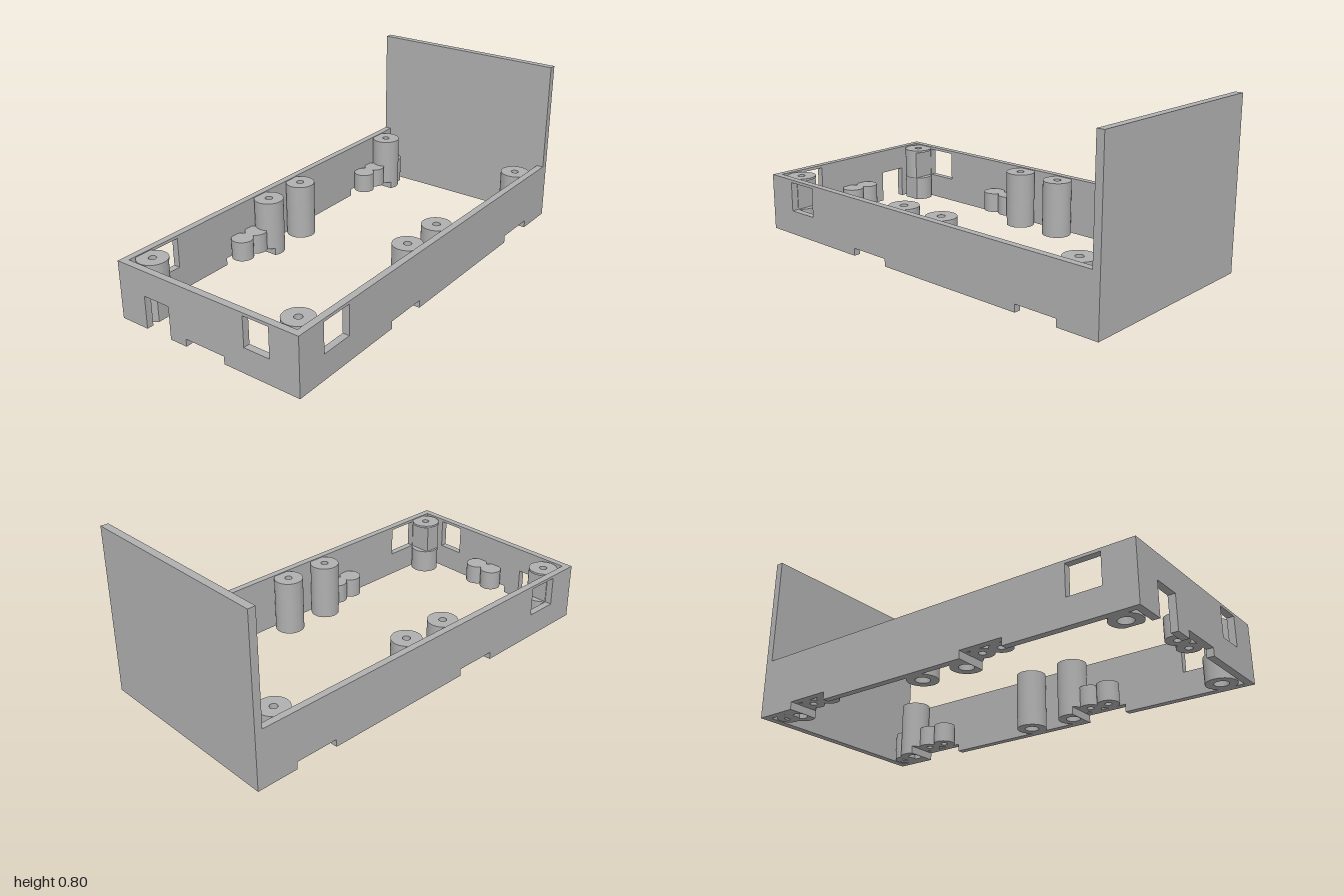
import * as THREE from 'three';
import { toCreasedNormals } from 'three/addons/utils/BufferGeometryUtils.js';

const H = 0.277, T = 0.033, Z = 0.487, NOTCH = 0.036;
const WIN_LO = 0.12, WIN_HI = 0.263;

export function createModel() {
  const group = new THREE.Group();
  const grey = new THREE.MeshStandardMaterial({ color: 0xb0b0b0 });
  grey.name = 'grey plastic';

  const add = (geometry, name) => {
    const mesh = new THREE.Mesh(geometry, grey);
    mesh.name = name;
    group.add(mesh);
    return mesh;
  };

  // Wall outline: notches are [from, to, height] cut from the bottom edge
  const wallGeometry = (a, b, notches, [w0, w1]) => {
    const s = new THREE.Shape();
    s.moveTo(a, 0);
    for (const [from, to, h] of notches) {
      s.lineTo(from, 0);
      s.lineTo(from, h);
      s.lineTo(to, h);
      s.lineTo(to, 0);
    }
    s.lineTo(b, 0);
    s.lineTo(b, H);
    s.lineTo(a, H);
    s.closePath();
    const hole = new THREE.Path();
    hole.moveTo(w0, WIN_LO);
    hole.lineTo(w0, WIN_HI);
    hole.lineTo(w1, WIN_HI);
    hole.lineTo(w1, WIN_LO);
    hole.closePath();
    s.holes.push(hole);
    return new THREE.ExtrudeGeometry(s, { depth: T, bevelEnabled: false });
  };

  // Long walls
  const longNotches = [[-0.39, -0.18, NOTCH], [0.59, 0.8, NOTCH]];
  for (const [name, z] of [['frontWall', Z - T], ['backWall', -Z]]) {
    add(wallGeometry(-1, 0.98, longNotches, [-0.85, -0.69]), name).position.z = z;
  }

  // Short end wall with a cable slot, a low notch and a window
  const end = wallGeometry(-Z + T, Z - T, [[-0.34, -0.2, 0.157], [-0.11, 0.1, NOTCH]], [0.21, 0.34]);
  end.rotateY(-Math.PI / 2);
  add(end, 'endWall').position.x = -1 + T;

  // Tall end panel
  add(new THREE.BoxGeometry(0.036, 0.803, 2 * Z), 'tallPanel').position.set(0.982, 0.4015, 0);

  // Round post slice with a bore; clip trims it to a rectangle in x and z
  const slice = (x, z, r, bore, y0, y1, clip, name) => {
    const { x0 = -9, x1 = 9, z0 = -9, z1 = 9 } = clip;
    const pts = [];
    for (let i = 0; i < 48; i++) {
      const t = (i / 48) * Math.PI * 2;
      const px = THREE.MathUtils.clamp(x + r * Math.cos(t), x0, x1);
      const pz = THREE.MathUtils.clamp(z - r * Math.sin(t), z0, z1);
      pts.push(new THREE.Vector2(px, -pz));
    }
    const s = new THREE.Shape(pts);
    if (bore) s.holes.push(new THREE.Path().absarc(x, -z, bore, 0, Math.PI * 2, true));
    const g = new THREE.ExtrudeGeometry(s, { depth: y1 - y0, bevelEnabled: false, curveSegments: 16 });
    g.rotateX(-Math.PI / 2);
    g.translate(0, y0, 0);
    add(toCreasedNormals(g, 0.5), name);
  };

  // Screw posts: wide bore below, narrow hole above, trimmed by the wall cut-outs
  const R = 0.07, WIDE = 0.033, NARROW = 0.018;
  for (const side of [1, -1]) {
    const z = 0.396 * side;
    for (const x of [-0.89, -0.145, 0.09, 0.835]) {
      const corner = x < -0.5;
      let foot = {}, middle = {}, window = {};
      if (x === -0.145) foot = { x0: -0.18 };
      if (x === 0.835) foot = { x0: 0.8 };
      if (corner) {
        window = { x1: -0.85 };
        if (side > 0) window.z0 = 0.34;
        else foot = middle = { z1: -0.34 };
      }
      slice(x, z, R, WIDE, 0, NOTCH, foot, 'screwPost');
      slice(x, z, R, WIDE, NOTCH, WIN_LO, middle, 'screwPost');
      slice(x, z, R, WIDE, WIN_LO, 0.235, window, 'screwPost');
      slice(x, z, R, NARROW, 0.235, WIN_HI, window, 'screwPost');
      slice(x, z, R, NARROW, WIN_HI, 0.273, {}, 'screwPost');
      // Rib tying the corner post to the end wall
      if (corner) {
        add(new THREE.BoxGeometry(0.03, 0.1, 0.03), 'rib').position.set(-0.957, 0.2, z);
      }
    }
  }

  // Short pegs with a blind hole underneath
  const peg = (x, z, y0) => {
    slice(x, z, 0.052, 0.017, y0, 0.11, {}, 'peg');
    slice(x, z, 0.052, 0, 0.11, 0.133, {}, 'peg');
  };
  for (const z of [0.406, -0.406]) {
    for (const x of [-0.33, -0.235, 0.645, 0.74]) peg(x, z, NOTCH);
    peg(0.905, z, 0);
  }
  for (const z of [0.047, -0.047]) peg(-0.92, z, NOTCH);

  return group;
}
